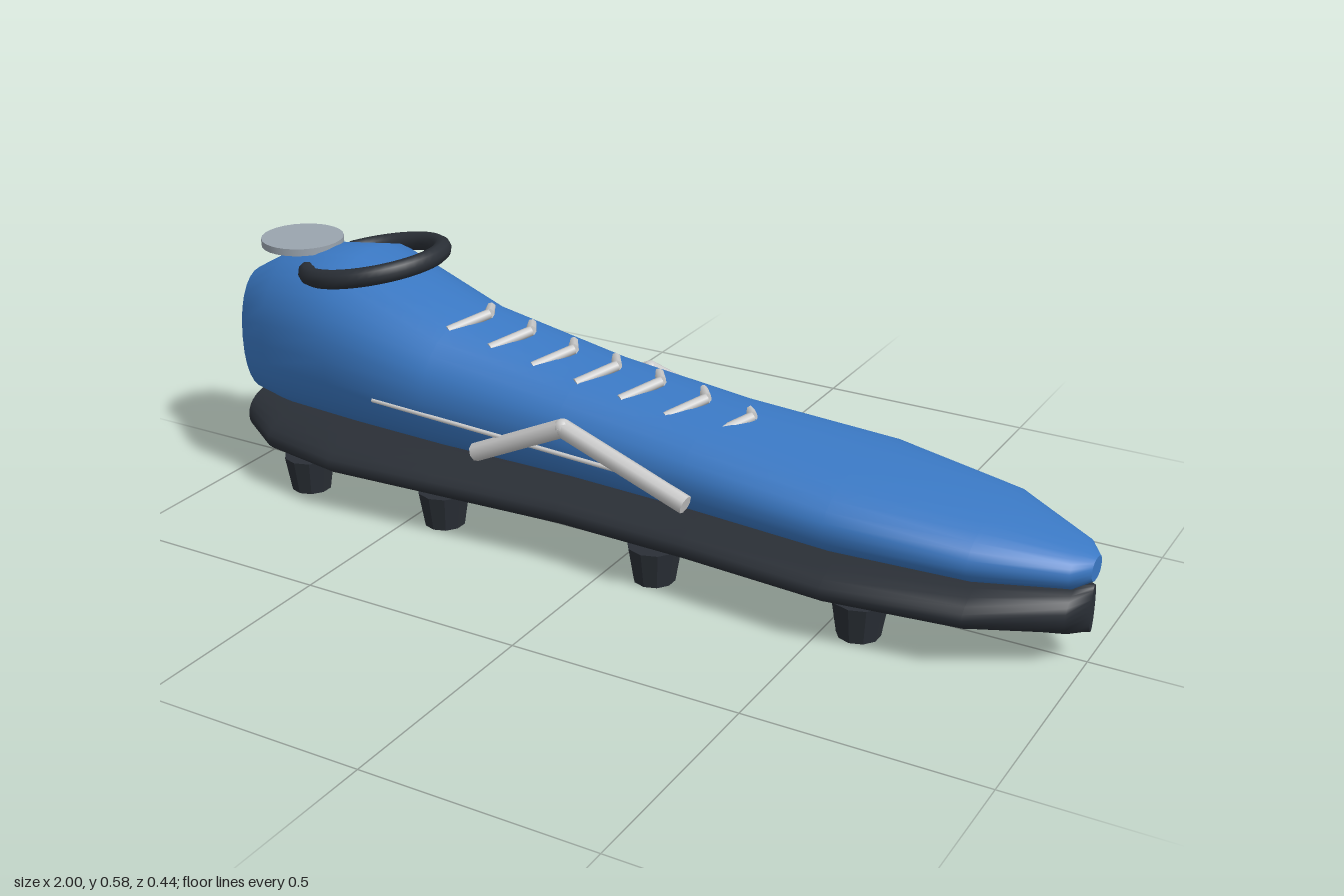
import * as THREE from 'three';

const mat = (color) => new THREE.MeshStandardMaterial({ color });

// Closed loft along x from stations [x, halfWidth, bottom, top]; power < 1 makes fuller sections
function loft(stations, power, sides = 28) {
  const pos = [], idx = [];
  const soft = (v) => Math.sign(v) * Math.abs(v) ** power;
  const ring = ([x, w, b, t]) => {
    for (let j = 0; j < sides; j++) {
      const a = (j / sides) * Math.PI * 2;
      pos.push(x, (b + t) / 2 + soft(Math.sin(a)) * (t - b) / 2, soft(Math.cos(a)) * w);
    }
  };
  stations.forEach(ring);
  for (let i = 0; i < stations.length - 1; i++) {
    for (let j = 0; j < sides; j++) {
      const k = (j + 1) % sides, p = i * sides, q = p + sides;
      idx.push(p + j, q + j, q + k, p + j, q + k, p + k);
    }
  }
  // End caps with their own vertices so the rims stay crisp
  [stations[0], stations[stations.length - 1]].forEach((s, end) => {
    const base = pos.length / 3;
    ring(s);
    pos.push(s[0], (s[2] + s[3]) / 2, 0);
    for (let j = 0; j < sides; j++) {
      const k = (j + 1) % sides;
      idx.push(base + sides, base + (end ? k : j), base + (end ? j : k));
    }
  });
  const g = new THREE.BufferGeometry();
  g.setAttribute('position', new THREE.Float32BufferAttribute(pos, 3));
  g.setIndex(idx);
  g.computeVertexNormals();
  return g;
}

// Straight round bar between two points
function bar(a, b, radius, material, sides = 8) {
  const from = new THREE.Vector3(...a), dir = new THREE.Vector3(...b).sub(from);
  const m = new THREE.Mesh(new THREE.CylinderGeometry(radius, radius, dir.length(), sides), material);
  m.position.copy(from).addScaledVector(dir, 0.5);
  m.quaternion.setFromUnitVectors(new THREE.Vector3(0, 1, 0), dir.normalize());
  return m;
}

export function createModel() {
  const model = new THREE.Group();
  const blue = mat(0x3a78c3), dark = mat(0x2a2f36), white = mat(0xd2d2d2), silver = mat(0x9aa4ae);
  const add = (name, object, parent = model) => {
    object.name = name;
    parent.add(object);
    return object;
  };

  // Upper
  add('upper', new THREE.Mesh(loft([
    [-1, 0.08, 0.165, 0.46],
    [-0.87, 0.165, 0.163, 0.535],
    [-0.67, 0.202, 0.163, 0.56],
    [-0.42, 0.192, 0.163, 0.458],
    [-0.1, 0.175, 0.163, 0.4],
    [0.2, 0.184, 0.163, 0.36],
    [0.52, 0.207, 0.163, 0.33],
    [0.8, 0.168, 0.163, 0.29],
    [0.97, 0.075, 0.166, 0.245],
    [1, 0.03, 0.18, 0.228],
  ], 0.9), blue));

  // Sole
  add('sole', new THREE.Mesh(loft([
    [-1, 0.08], [-0.87, 0.172], [-0.67, 0.212], [-0.42, 0.196], [-0.1, 0.176],
    [0.2, 0.186], [0.52, 0.212], [0.8, 0.174], [0.97, 0.076], [1, 0.012],
  ].map(([x, w]) => [x, w, 0.066, 0.17]), 0.95), dark));

  // Studs in four pairs
  const studs = add('studs', new THREE.Group());
  const studGeometry = new THREE.CylinderGeometry(0.058, 0.045, 0.08, 10);
  const studMaterial = mat(0x2a2f36);
  studMaterial.flatShading = true;
  for (const x of [-0.795, -0.425, 0.105, 0.57]) {
    for (const side of [1, -1]) {
      const stud = add('stud', new THREE.Mesh(studGeometry, studMaterial), studs);
      stud.position.set(x, 0.04, side * 0.118);
    }
  }

  // Ankle collar: a tilted ring, open toward the heel, with rounded ends
  const collar = add('collar', new THREE.Group());
  const half = 2.55, radius = 0.15, tube = 0.021;
  const arc = new THREE.Mesh(new THREE.TorusGeometry(radius, tube, 10, 40, half * 2), dark);
  arc.rotation.z = -half;
  const flat = add('collarRing', new THREE.Group(), collar);
  flat.add(arc);
  for (const side of [1, -1]) {
    const tip = new THREE.Mesh(new THREE.SphereGeometry(tube, 10, 8), dark);
    tip.position.set(radius * Math.cos(half), side * radius * Math.sin(half), 0);
    flat.add(tip);
  }
  flat.rotation.x = -Math.PI / 2;
  collar.position.set(-0.67, 0.533, 0);
  collar.rotation.z = 0.18;

  // Heel disc
  const disc = add('heelDisc', new THREE.Mesh(new THREE.CylinderGeometry(0.092, 0.092, 0.016, 28), silver));
  disc.position.set(-0.87, 0.546, 0);

  // Chevron laces pointing toward the toe
  const laces = add('laces', new THREE.Group());
  const tipY = [0.462, 0.443, 0.422, 0.406, 0.392, 0.376, 0.358];
  tipY.forEach((y, i) => {
    const x = -0.37 + i * 0.106;
    for (const side of [1, -1]) {
      add('lace', bar([x, y, 0], [x - 0.052, y - 0.022, side * 0.083], 0.011, white), laces);
    }
  });

  // Bent side stripes and thin seams on both flanks
  for (const side of [1, -1]) {
    const trim = add(side > 0 ? 'leftTrim' : 'rightTrim', new THREE.Group());
    const peak = [-0.075, 0.328, side * 0.182];
    add('stripe', bar([-0.29, 0.227, side * 0.187], peak, 0.02, white), trim);
    add('stripe', bar(peak, [0.22, 0.232, side * 0.198], 0.02, white), trim);
    const bend = add('stripeBend', new THREE.Mesh(new THREE.SphereGeometry(0.02, 10, 8), white), trim);
    bend.position.set(...peak);
    add('seam', bar([-0.55, 0.293, side * 0.192], [0.15, 0.255, side * 0.176], 0.005, white), trim);
  }

  return model;
}
